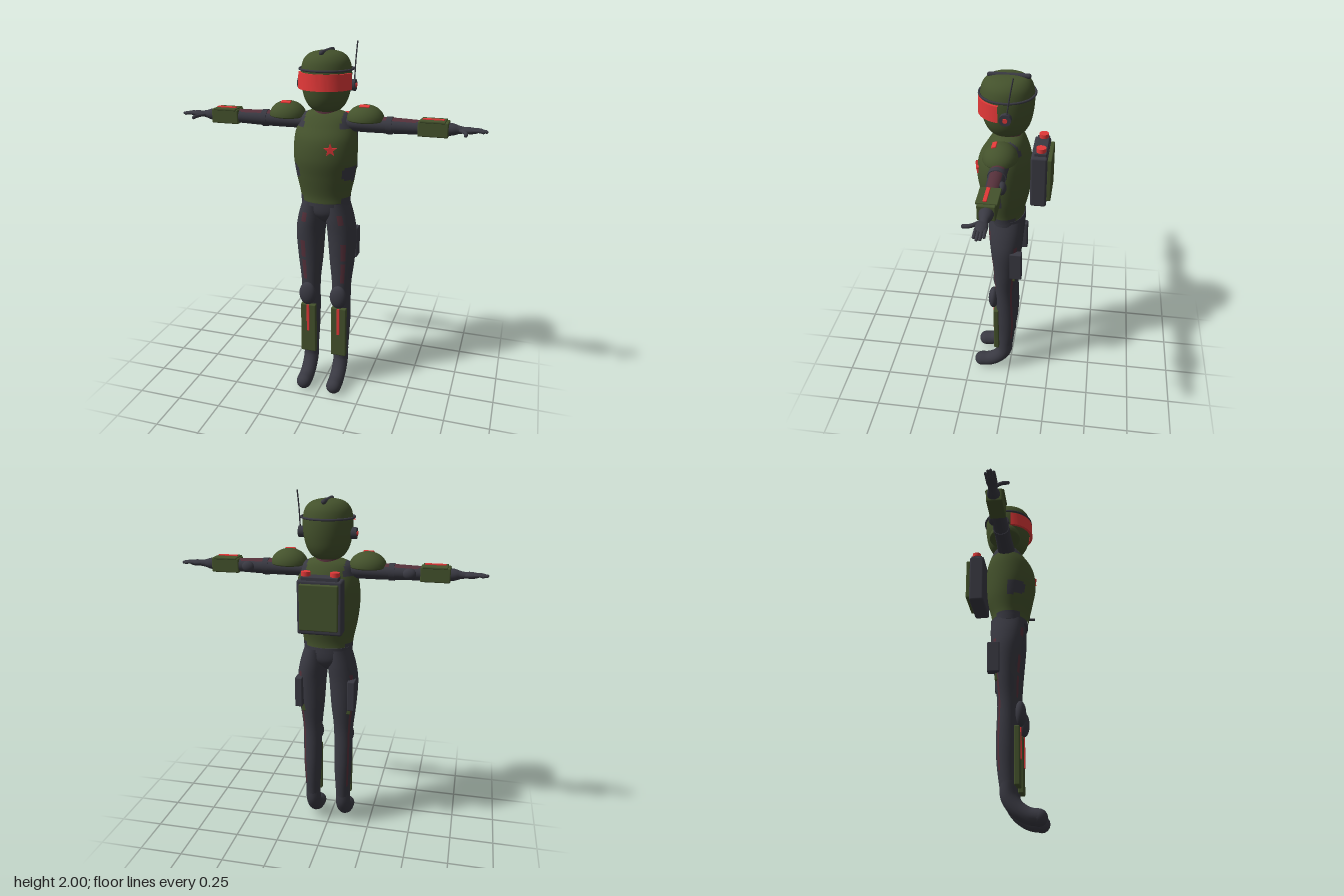
import * as THREE from 'three';
import { toCreasedNormals } from 'three/addons/utils/BufferGeometryUtils.js';
import { RoundedBoxGeometry } from 'three/addons/geometries/RoundedBoxGeometry.js';

const paint = (name, color) => {
  const m = new THREE.MeshStandardMaterial({ color });
  m.name = name;
  return m;
};

// Smooth loft along y. Sections are [y, centreX, radiusX, centreZ, radiusZ], rising in y.
// pick(x, y, z, angle) returns a material index for each quad.
function loft(sections, sides, rows, pick = () => 0) {
  const splines = sections[0].map((_, c) => new THREE.SplineCurve(sections.map(s => new THREE.Vector2(s[c], 0))));
  const pos = [], buckets = [[], [], []];
  for (let i = 0; i <= rows; i++) {
    const [y, cx, rx, cz, rz] = splines.map(s => s.getPoint(i / rows).x);
    for (let j = 0; j < sides; j++) {
      const a = (j / sides) * Math.PI * 2;
      pos.push(cx + rx * Math.sin(a), y, cz + rz * Math.cos(a));
    }
  }
  for (let i = 0; i < rows; i++) for (let j = 0; j < sides; j++) {
    const k = (j + 1) % sides, a = i * sides + j, b = i * sides + k, c = b + sides, d = a + sides;
    const mid = n => (pos[a * 3 + n] + pos[b * 3 + n] + pos[c * 3 + n] + pos[d * 3 + n]) / 4;
    const angle = ((j + 0.5) / sides) * 360;
    buckets[pick(mid(0), mid(1), mid(2), angle)].push(a, b, c, a, c, d);
  }
  const g = new THREE.BufferGeometry();
  g.setAttribute('position', new THREE.Float32BufferAttribute(pos, 3));
  g.setIndex(buckets.flat());
  let start = 0;
  buckets.forEach((f, m) => { if (f.length) g.addGroup(start, f.length, m); start += f.length; });
  g.computeVertexNormals();
  return g;
}

const box = (w, h, d, r = 0.006) => new RoundedBoxGeometry(w, h, d, 2, r);
const ball = (rx, ry, rz) => new THREE.SphereGeometry(1, 28, 18).scale(rx, ry, rz);
const tube = (pts, r, n = 24) =>
  new THREE.TubeGeometry(new THREE.CatmullRomCurve3(pts.map(p => new THREE.Vector3(...p))), n, r, 16);

export function createModel() {
  const root = new THREE.Group();
  root.name = 'armouredFigure';
  const green = paint('oliveArmour', 0x44522c);
  const dark = paint('charcoalCloth', 0x393942);
  const red = paint('signalRed', 0xe23838);
  const maroon = paint('dullRed', 0x55303a);

  const add = (parent, name, geo, mat, x = 0, y = 0, z = 0) => {
    const m = new THREE.Mesh(geo, mat);
    m.name = name;
    m.position.set(x, y, z);
    parent.add(m);
    return m;
  };
  const part = name => {
    const g = new THREE.Group();
    g.name = name;
    root.add(g);
    return g;
  };

  // Torso with dark shoulder, flank and hem patches
  const torso = part('torso');
  add(torso, 'chestArmour', loft([
    [1.155, 0, 0.138, 0.03, 0.105], [1.2, 0, 0.142, 0.03, 0.108], [1.3, 0, 0.163, 0.03, 0.13],
    [1.4, 0, 0.174, 0.035, 0.143], [1.5, 0, 0.171, 0.03, 0.138], [1.57, 0, 0.155, 0.02, 0.11],
    [1.62, 0, 0.132, 0.015, 0.08], [1.645, 0, 0.07, 0.015, 0.05], [1.65, 0, 0.01, 0.015, 0.01],
  ], 64, 64, (x, y, z) => {
    const flank = y > 1.27 + (z - 0.03) * 0.3 && y < 1.36 && z > 0.03 && z < 0.125;
    const shoulder = y > 1.56 && Math.abs(x) > 0.1;
    const hem = y < 1.185 && Math.abs(x) > 0.11;
    return flank || shoulder || hem ? 1 : 0;
  }), [green, dark]);
  add(torso, 'neck', new THREE.CylinderGeometry(0.06, 0.07, 0.07, 28), maroon, 0, 1.65, 0.015);
  add(torso, 'belt', new THREE.CylinderGeometry(0.137, 0.137, 0.03, 48).scale(1, 1, 0.76), dark, 0, 1.148, 0.025);

  // Chest star
  const star = new THREE.Shape();
  for (let i = 0; i < 10; i++) {
    const r = i % 2 ? 0.015 : 0.036, a = (i / 10) * Math.PI * 2;
    star[i ? 'lineTo' : 'moveTo'](r * Math.sin(a), r * Math.cos(a));
  }
  add(torso, 'chestStar', new THREE.ExtrudeGeometry(star, { depth: 0.009, bevelEnabled: false }),
    red, 0.065, 1.465, 0.165).rotation.y = 0.32;

  // Head, visor, headband, crest and aerial
  const head = part('head');
  add(head, 'helmet', loft([
    [1.635, 0, 0.03, 0.018, 0.03], [1.655, 0, 0.08, 0.018, 0.085], [1.7, 0, 0.112, 0.018, 0.115],
    [1.76, 0, 0.128, 0.018, 0.13], [1.82, 0, 0.133, 0.018, 0.136], [1.87, 0, 0.13, 0.018, 0.134],
    [1.91, 0, 0.116, 0.018, 0.122], [1.938, 0, 0.085, 0.018, 0.095], [1.95, 0, 0.04, 0.018, 0.05],
    [1.952, 0, 0.001, 0.018, 0.001],
  ], 48, 48), green);
  const band = [[0.134, -0.042], [0.149, -0.042], [0.147, 0.042], [0.134, 0.042], [0.134, -0.042]];
  add(head, 'visor', toCreasedNormals(new THREE.LatheGeometry(
    band.map(p => new THREE.Vector2(...p)), 40, -1.36, 2.72), 0.5), red, 0, 1.803, 0.017);
  add(head, 'headband', new THREE.TorusGeometry(0.14, 0.006, 8, 56).rotateX(Math.PI / 2), dark, 0, 1.86, 0.018);
  add(head, 'crest', new THREE.CapsuleGeometry(0.013, 0.19, 6, 14).rotateX(Math.PI / 2), dark, 0, 1.945, 0.01);
  add(head, 'aerial', tube([[0.147, 1.79, 0.005], [0.148, 1.9, -0.012], [0.152, 1.998, -0.03]], 0.0035), dark);

  // Backpack
  const pack = part('backpack');
  add(pack, 'packBody', box(0.24, 0.29, 0.085, 0.012), dark, 0, 1.42, -0.155);
  add(pack, 'packTop', box(0.2, 0.03, 0.065), dark, 0, 1.568, -0.16);
  add(pack, 'packPanel', box(0.205, 0.245, 0.025), green, 0, 1.425, -0.207);

  // Pelvis between the legs
  add(root, 'pelvis', loft([
    [1.02, 0, 0.015, 0.02, 0.03], [1.05, 0, 0.06, 0.02, 0.07], [1.09, 0, 0.125, 0.02, 0.092], [1.15, 0, 0.13, 0.02, 0.096],
  ], 40, 12), dark);

  for (const s of [1, -1]) {
    const side = s > 0 ? 'left' : 'right';

    add(head, side + 'EarCup', new THREE.CylinderGeometry(0.03, 0.03, 0.03, 28).rotateZ(Math.PI / 2), dark, s * 0.141, 1.78, 0.01);
    add(head, side + 'EarLight', new THREE.CylinderGeometry(0.012, 0.012, 0.006, 20).rotateZ(Math.PI / 2), red, s * 0.158, 1.78, 0.01);
    add(pack, side + 'PackCap', new THREE.CylinderGeometry(0.025, 0.025, 0.022, 24), red, s * 0.077, 1.594, -0.162);

    // Leg with worn red strips along the outer front and back
    const leg = part(side + 'Leg');
    const L = (y, cx, rx, cz, rz) => [y, s * cx, rx, cz, rz];
    add(leg, 'trouserLeg', loft([
      L(0.2, 0.092, 0.041, 0.024, 0.043), L(0.3, 0.092, 0.046, 0.018, 0.05), L(0.4, 0.092, 0.051, 0.018, 0.056),
      L(0.5, 0.092, 0.053, 0.02, 0.056), L(0.65, 0.092, 0.056, 0.024, 0.056), L(0.8, 0.093, 0.072, 0.02, 0.068),
      L(0.95, 0.092, 0.082, 0.02, 0.082), L(1.05, 0.08, 0.08, 0.02, 0.092), L(1.15, 0.065, 0.065, 0.02, 0.094),
    ], 48, 60, (x, y, z, angle) => {
      const a = s > 0 ? angle : 360 - angle;
      const front = a > 8 && a < 30 && ((y > 0.66 && y < 0.8) || (y > 0.82 && y < 0.92) || (y > 1.03 && y < 1.08));
      const back = a > 128 && a < 143 && y > 0.28 && y < 1.0;
      return front || back ? 1 : 0;
    }), [dark, maroon]);
    const x = s * 0.092;
    add(leg, 'boot', tube([[x, 0.225, 0.024], [x, 0.15, 0.03], [x, 0.09, 0.07], [x, 0.055, 0.125], [x, 0.046, 0.177]], 0.044, 32), dark);
    add(leg, 'bootToe', ball(0.044, 0.044, 0.044), dark, x, 0.045, 0.177);
    add(leg, 'kneePad', ball(0.05, 0.07, 0.03), dark, x, 0.585, 0.092);
    add(leg, 'shinGuard', box(0.09, 0.31, 0.03), green, x, 0.355, 0.075);
    add(leg, 'shinStripe', box(0.015, 0.17, 0.008, 0.002), red, x, 0.425, 0.092);
    add(leg, 'thighPouch', box(0.042, 0.175, 0.068), dark, s * 0.15, 0.89, -0.045);
    add(leg, 'pouchTab', box(0.035, 0.045, 0.02, 0.004), green, s * 0.125, 0.785, -0.03);

    // Arm stretched out sideways, lofted upright and then laid down
    const arm = part(side + 'Arm');
    const sleeve = add(arm, 'sleeve', loft([
      [0.12, 0, 0.042, 0, 0.05], [0.25, 0, 0.043, 0, 0.045], [0.38, 0, 0.041, 0, 0.042], [0.5, 0, 0.037, 0, 0.038],
      [0.65, 0, 0.033, 0, 0.034], [0.7, 0, 0.021, 0, 0.022], [0.74, 0, 0.014, 0, 0.02],
    ], 32, 48, (lx, ly) => (-s * lx > 0.029 && ly > 0.3 && ly < 0.5 ? 1 : 0)), [dark, maroon], 0, 1.583, 0.022);
    sleeve.rotation.z = -s * Math.PI / 2;
    add(arm, 'sleeveBand', new THREE.CylinderGeometry(0.046, 0.046, 0.03, 28).rotateZ(Math.PI / 2), dark, s * 0.345, 1.583, 0.022);
    add(arm, 'elbowPad', ball(0.035, 0.03, 0.022), dark, s * 0.44, 1.583, -0.015);
    add(arm, 'shoulderPad', ball(0.1, 0.078, 0.088), green, s * 0.215, 1.607, 0.025)
      .geometry.attributes.position.needsUpdate = true;
    // Flatten the underside of the pad
    const pad = arm.getObjectByName('shoulderPad').geometry, p = pad.attributes.position;
    for (let i = 0; i < p.count; i++) if (p.getY(i) < 0) p.setY(i, p.getY(i) * 0.2);
    pad.computeVertexNormals();
    add(arm, 'shoulderMark', box(0.055, 0.009, 0.025, 0.003), red, s * 0.215, 1.68, 0.053).rotation.x = 0.3;

    add(arm, 'forearmGuard', box(0.155, 0.078, 0.085), green, s * 0.573, 1.583, 0.024);
    add(arm, 'forearmPlate', box(0.13, 0.012, 0.1, 0.004), green, s * 0.57, 1.622, 0.024);
    add(arm, 'forearmStripe', box(0.11, 0.008, 0.018, 0.002), red, s * 0.57, 1.63, 0.033);

    // Hand
    const hand = new THREE.Group();
    hand.name = side + 'Hand';
    arm.add(hand);
    add(hand, 'palm', ball(0.052, 0.017, 0.029), dark, s * 0.75, 1.583, 0.026);
    for (let i = 0; i < 4; i++) {
      const z = 0.005 + i * 0.014, tip = [0.815, 0.832, 0.836, 0.822][i];
      add(hand, 'finger', tube([[s * 0.765, 1.585, z], [s * 0.8, 1.586, z], [s * tip, 1.582, z]], 0.0078, 10), dark);
      add(hand, 'fingertip', ball(0.0078, 0.0078, 0.0078), dark, s * tip, 1.582, z);
    }
    add(hand, 'thumb', tube([[s * 0.69, 1.583, 0.025], [s * 0.722, 1.58, 0.05], [s * 0.74, 1.577, 0.08], [s * 0.742, 1.575, 0.107]], 0.0095), dark);
    add(hand, 'thumbTip', ball(0.0095, 0.0095, 0.0095), dark, s * 0.742, 1.575, 0.107);
  }
  return root;
}
